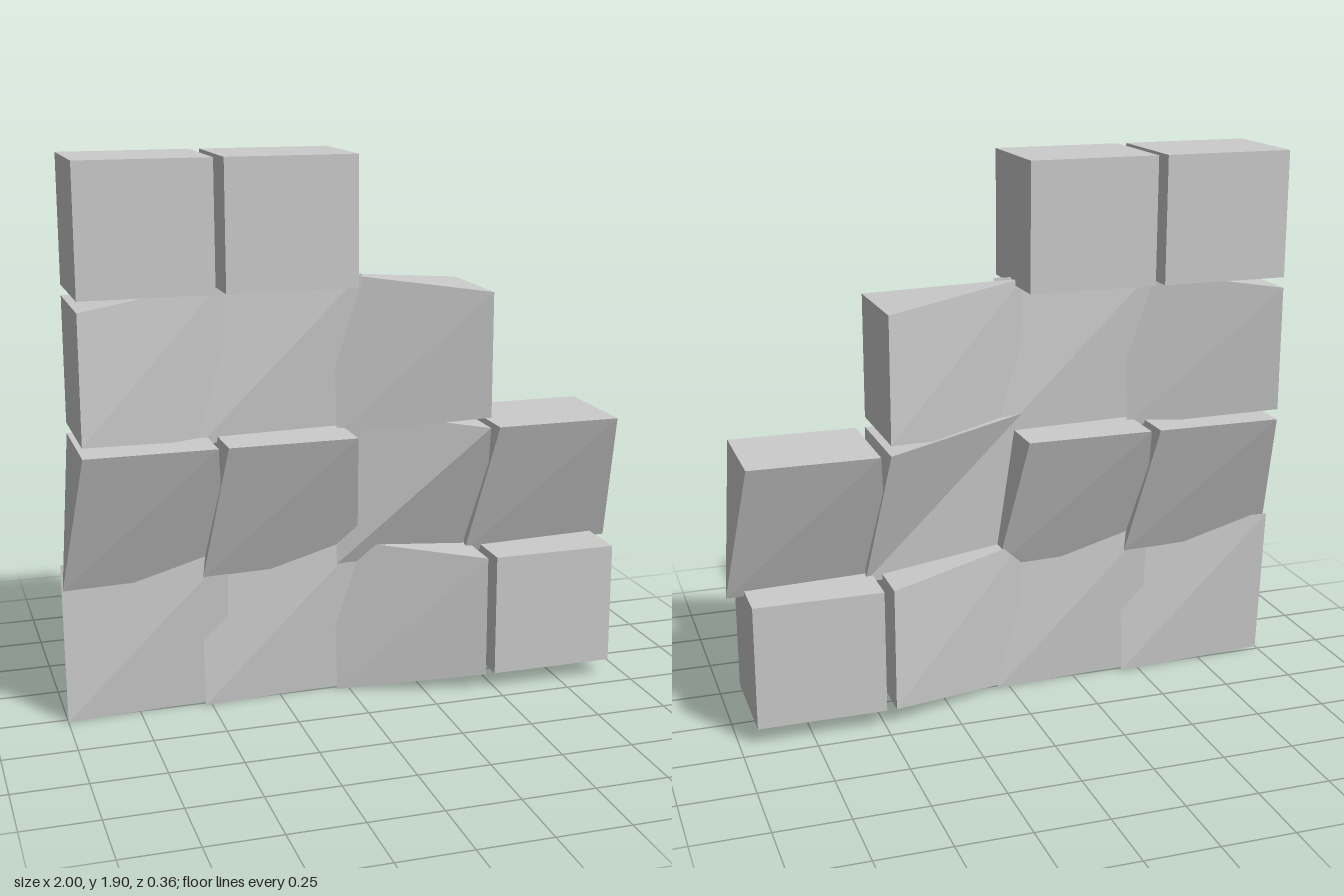
import * as THREE from 'three';

// Grid spacing and centre of the lowest row
const PITCH_X = 0.478, PITCH_Y = 0.471, BASE_Y = 0.275;
// Half sizes of a full corner, and of a corner pinched to a single point
const FULL = { x: 0.222, y: 0.217, z: 0.182 };
const PINCHED = { x: 0.283, y: 0.275, z: 0.02 };

// Rows from bottom to top. Each block lists its corners in the order
// bottom left, bottom right, top right, top left: F is full, p is pinched.
const ROWS = [
  ['pppp', 'pppp', 'pFFp', 'FFFF'],
  ['ppFF', 'ppFF', 'ppFp', 'ppFF'],
  ['FppF', 'pppp', 'pFFp'],
  ['FFFF', 'FFFF'],
];
const SIGNS = [[-1, -1], [1, -1], [1, 1], [-1, 1]];

// A block of eight corners; pinched corners lean alternately to front and back
function blockGeometry(corners) {
  const front = [], back = [];
  SIGNS.forEach(([sx, sy], i) => {
    const full = corners[i] === 'F';
    const s = full ? FULL : PINCHED;
    const lean = sx * sy * s.z;
    front.push(new THREE.Vector3(sx * s.x, sy * s.y, full ? s.z : lean));
    back.push(new THREE.Vector3(sx * s.x, sy * s.y, full ? -s.z : lean));
  });

  const positions = [];
  const triangle = (a, b, c) => {
    // Skip the triangles that vanish where corners are pinched
    if (a.equals(b) || b.equals(c) || c.equals(a)) return;
    for (const v of [a, b, c]) positions.push(v.x, v.y, v.z);
  };
  const quad = (a, b, c, d) => {
    triangle(a, b, c);
    triangle(a, c, d);
  };

  quad(front[0], front[1], front[2], front[3]);
  quad(back[1], back[0], back[3], back[2]);
  for (let i = 0; i < 4; i++) {
    const j = (i + 1) % 4;
    quad(front[j], front[i], back[i], back[j]);
  }

  const geometry = new THREE.BufferGeometry();
  geometry.setAttribute('position', new THREE.Float32BufferAttribute(positions, 3));
  geometry.computeVertexNormals();
  return geometry;
}

export function createModel() {
  const model = new THREE.Group();
  model.name = 'blockWall';
  const material = new THREE.MeshStandardMaterial({ color: 0xcccccc, flatShading: true });

  ROWS.forEach((row, r) => {
    const rowGroup = new THREE.Group();
    rowGroup.name = `blockRow${r + 1}`;
    rowGroup.position.y = BASE_Y + r * PITCH_Y;
    row.forEach((corners, c) => {
      const block = new THREE.Mesh(blockGeometry(corners), material);
      block.name = `block${c + 1}`;
      block.position.x = (c - 1.5) * PITCH_X;
      rowGroup.add(block);
    });
    model.add(rowGroup);
  });
  return model;
}
